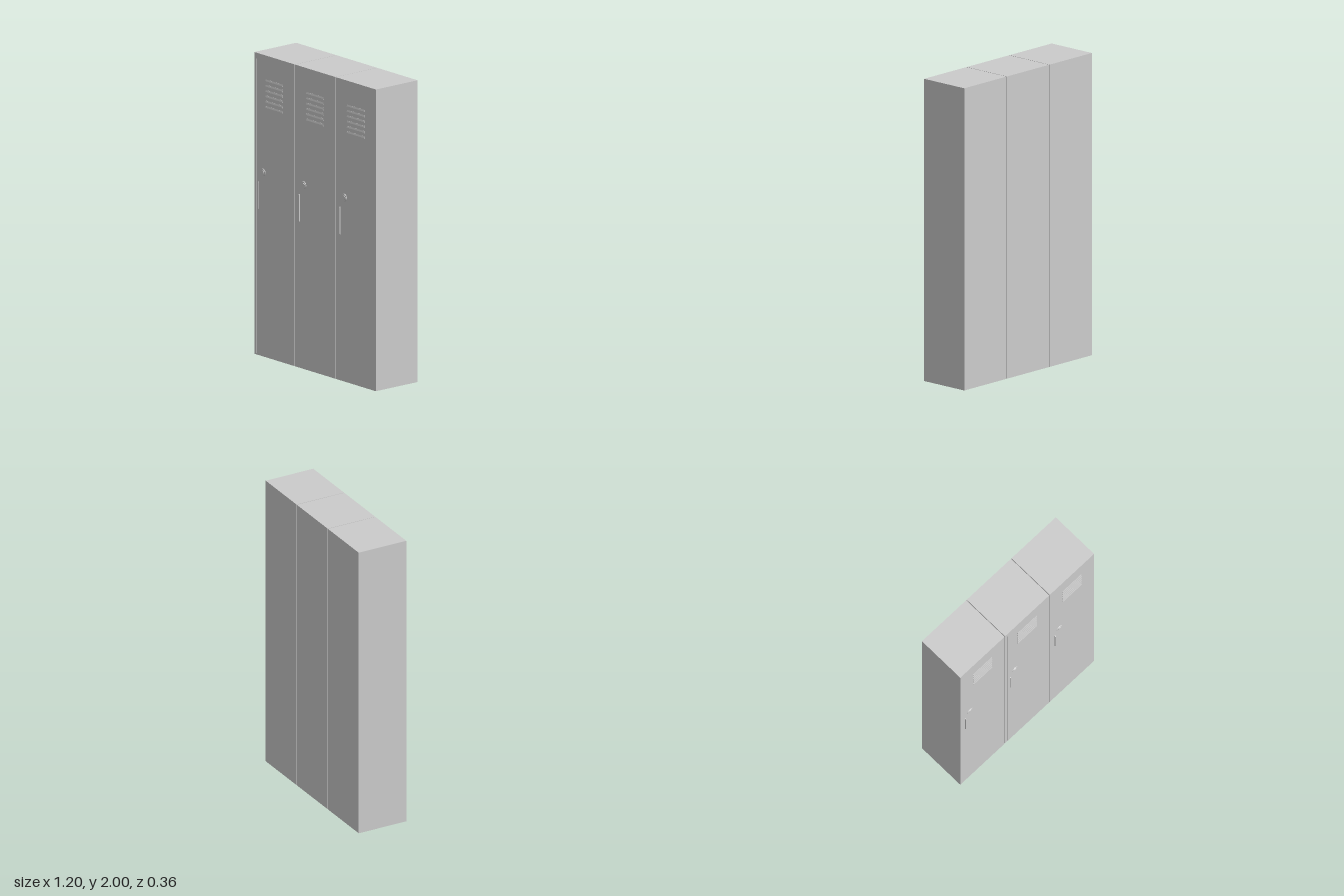
import * as THREE from 'three';

const W = 0.398, H = 2, PITCH = 0.402;
const BACK = -0.179, FRONT = 0.171, SKIN = 0.005;

function rect(path, x0, y0, x1, y1) {
  path.moveTo(x0, y0);
  path.lineTo(x1, y0);
  path.lineTo(x1, y1);
  path.lineTo(x0, y1);
  path.closePath();
  return path;
}

export function createModel() {
  const model = new THREE.Group();
  model.name = 'lockerRow';
  const mat = new THREE.MeshStandardMaterial({ color: 0xcccccc });

  const add = (parent, name, geometry, x = 0, y = 0, z = 0) => {
    const mesh = new THREE.Mesh(geometry, mat);
    mesh.name = name;
    mesh.position.set(x, y, z);
    parent.add(mesh);
    return mesh;
  };

  // Case behind the front panel
  const depth = FRONT - SKIN - BACK;
  const caseGeo = new THREE.BoxGeometry(W, H, depth);

  // Front panel, with or without the slit beside the door
  const frontPanel = (slit) => {
    const shape = rect(new THREE.Shape(), -W / 2, 0, W / 2, H);
    if (slit) shape.holes.push(rect(new THREE.Path(), -0.181, 0.008, -0.177, 1.96));
    return new THREE.ExtrudeGeometry(shape, { depth: SKIN, bevelEnabled: false });
  };

  // Louvre: sloped hood profile (z out, y up) extruded along x
  const hood = new THREE.Shape();
  hood.moveTo(0, -0.008);
  hood.lineTo(0.004, -0.008);
  hood.lineTo(0.004, -0.003);
  hood.lineTo(0.001, 0.008);
  hood.lineTo(0, 0.008);
  hood.closePath();
  const louvreGeo = new THREE.ExtrudeGeometry(hood, { depth: 0.17, bevelEnabled: false });
  louvreGeo.translate(0, 0, -0.085).rotateY(-Math.PI / 2);
  // the turn sends the profile's x to +z

  // Handle: thin upright fin with rounded outer corners
  const fin = new THREE.Shape();
  fin.moveTo(0, -0.092);
  fin.quadraticCurveTo(0.008, -0.092, 0.008, -0.08);
  fin.lineTo(0.008, 0.08);
  fin.quadraticCurveTo(0.008, 0.092, 0, 0.092);
  fin.closePath();
  const handleGeo = new THREE.ExtrudeGeometry(fin, { depth: 0.005, bevelEnabled: false });
  handleGeo.translate(0, 0, -0.0025).rotateY(-Math.PI / 2);

  // Lock: stepped round plate with a keyhole ridge
  const disc = (r0, r1, h) => new THREE.CylinderGeometry(r0, r1, h, 32).rotateX(Math.PI / 2);
  const plateGeo = disc(0.022, 0.025, 0.004);
  const barrelGeo = disc(0.013, 0.014, 0.003);
  const keyGeo = new THREE.BoxGeometry(0.003, 0.014, 0.001);

  for (let i = -1; i <= 1; i++) {
    const locker = new THREE.Group();
    locker.name = 'locker';
    locker.position.x = i * PITCH;
    model.add(locker);

    add(locker, 'case', caseGeo, 0, H / 2, BACK + depth / 2);
    add(locker, 'frontPanel', frontPanel(i < 1), 0, 0, FRONT - SKIN);
    for (let k = 0; k < 6; k++) add(locker, 'louvre', louvreGeo, 0, 1.658 + k * 0.0352, FRONT);
    add(locker, 'handle', handleGeo, -0.154, 1.06, FRONT);

    const lock = new THREE.Group();
    lock.name = 'lock';
    lock.position.set(-0.112, 1.22, FRONT);
    locker.add(lock);
    add(lock, 'lockPlate', plateGeo, 0, 0, 0.002);
    add(lock, 'lockBarrel', barrelGeo, 0, 0, 0.0055);
    add(lock, 'keyRidge', keyGeo, 0, 0, 0.0075);
  }
  return model;
}
